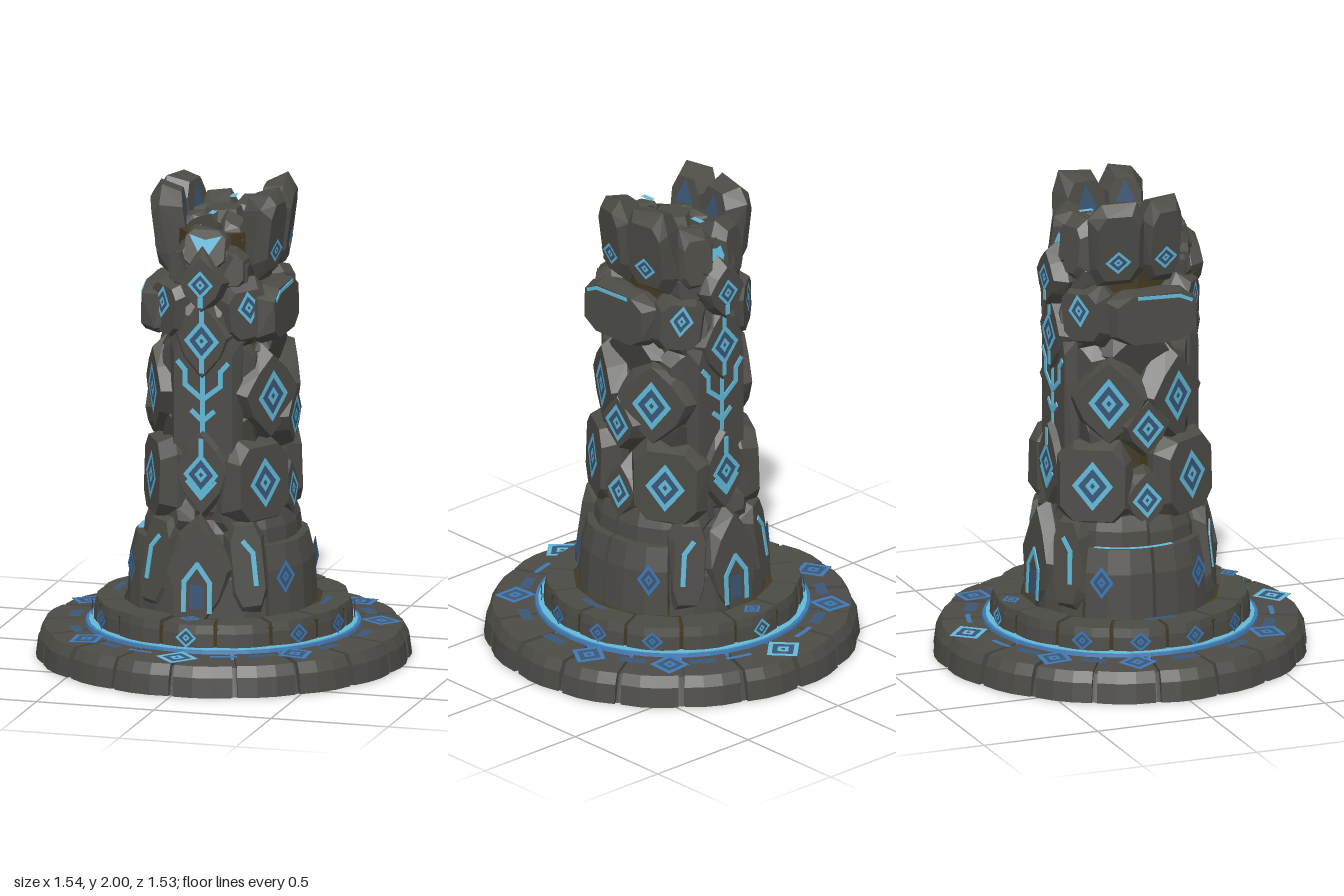
import * as THREE from 'three';
import { ConvexGeometry } from 'three/addons/geometries/ConvexGeometry.js';

const mat = (name, color, side = THREE.FrontSide) => {
  const m = new THREE.MeshStandardMaterial({ color, side });
  m.name = name;
  return m;
};

export function createModel() {
  const root = new THREE.Group();
  root.name = 'runePillar';
  const M = {
    stone: mat('stone', 0x4c4b46),
    dark: mat('darkStone', 0x3e3d38),
    moss: mat('mossyStone', 0x433920),
    glow: mat('runeGlow', 0x62b9d9, THREE.DoubleSide),
    blue: mat('runeBlue', 0x3f78b4, THREE.DoubleSide),
    deep: mat('runeDeepBlue', 0x3a5675, THREE.DoubleSide),
  };
  const PI = Math.PI;
  let seed = 7;
  const rnd = () => (seed = (seed * 16807) % 2147483647) / 2147483647;
  const jit = (s) => (rnd() - 0.5) * 2 * s;

  const add = (parent, name, geo, m, x = 0, y = 0, z = 0) => {
    const mesh = new THREE.Mesh(geo, m);
    mesh.name = name;
    mesh.position.set(x, y, z);
    parent.add(mesh);
    return mesh;
  };
  const drum = (name, r0, r1, h, sides, m, y) => {
    const geo = new THREE.CylinderGeometry(r0, r1, h, sides).toNonIndexed();
    geo.computeVertexNormals();
    return add(root, name, geo, m, 0, y, 0);
  };
  // Frame whose local +z points out of the surface
  const frame = (name, x, y, z, yaw, pitch = 0, roll = 0) => {
    const g = new THREE.Group();
    g.name = name;
    g.position.set(x, y, z);
    g.rotation.set(pitch, yaw, roll, 'YXZ');
    root.add(g);
    return g;
  };

  // Curved paving block with a chamfered outer edge; rise lifts its inner top edge
  const ringStone = (name, a0, a1, ri, ro, y0, y1, bevel, rise = 0) => {
    const pts = [];
    const mid = y0 + (y1 - y0) * 0.65;
    for (let i = 0; i <= 3; i++) {
      const a = a0 + ((a1 - a0) * i) / 3;
      const e = i % 3 ? 0 : 0.008;
      for (const [r, y] of [[ri, y0], [ri, y1 + rise], [ro - e, y0], [ro - bevel * 0.3 - e, mid], [ro - bevel - e, y1]])
        pts.push(new THREE.Vector3(Math.sin(a) * r, y, Math.cos(a) * r));
    }
    add(root, name, new ConvexGeometry(pts), M.stone);
  };

  // Faceted boulder: flat face at local z = 0, swelling behind it
  const BLOCK = [[-1, -0.6], [-0.6, -1], [0.6, -1], [1, -0.6], [1, 0.6], [0.6, 1], [-0.6, 1], [-1, 0.6]];
  const KITE = [[0, -1], [0.7, -0.45], [1, 0.1], [0.55, 0.6], [0, 1], [-0.55, 0.6], [-1, 0.1], [-0.7, -0.45]];
  const boulder = (g, shape, w, h, d, face = 0.72, m = M.stone) => {
    const pts = [];
    for (const [u, v] of shape) {
      const x = (u * w) / 2, y = (v * h) / 2;
      pts.push(new THREE.Vector3(x * face, y * face, 0));
      pts.push(new THREE.Vector3(x + jit(0.012), y + jit(0.012), -d * 0.35 + jit(0.012)));
      pts.push(new THREE.Vector3(x * 0.75, y * 0.8, -d));
    }
    add(g, g.name + 'Stone', new ConvexGeometry(pts), m);
  };

  // Painted diamond: bright outline, deep fill, bright centre
  const diamond = (w, h, hole = 0) => {
    const corners = (k) => [[0, -h], [w, 0], [0, h], [-w, 0]].map(([x, y]) => new THREE.Vector2((x * k) / 2, (y * k) / 2));
    const s = new THREE.Shape(corners(1));
    if (hole) s.holes.push(new THREE.Path(corners(hole)));
    return new THREE.ShapeGeometry(s);
  };
  const rune = (g, w, h, edge = M.glow, y = 0) => {
    add(g, 'runeFill', diamond(w, h), M.deep, 0, y, 0.003);
    add(g, 'runeOutline', diamond(w, h, 0.7), edge, 0, y, 0.005);
    add(g, 'runeCentre', diamond(w * 0.36, h * 0.36, 0.35), edge, 0, y, 0.005);
  };
  // Painted line through points on a local face
  const stroke = (g, pts, t = 0.02, m = M.glow) => {
    for (let i = 1; i < pts.length; i++) {
      const [ax, ay] = pts[i - 1], [bx, by] = pts[i];
      const len = Math.hypot(bx - ax, by - ay) + t * 0.6;
      add(g, 'runeLine', new THREE.BoxGeometry(t, len, 0.005), m, (ax + bx) / 2, (ay + by) / 2, 0.003).rotation.z = Math.atan2(ax - bx, by - ay);
    }
  };
  // Painted arc lying on a ring
  const arc = (name, a, span, r0, r1, y, m) => {
    add(root, name, new THREE.RingGeometry(r0, r1, 12, 1, a - PI / 2 - span / 2, span), m, 0, y, 0).rotation.x = -PI / 2;
  };

  // Paved base, sloping gently outwards
  drum('baseCore', 0.71, 0.745, 0.115, 36, M.stone, 0.0575);
  for (let i = 0; i < 18; i++) {
    const a = (i * PI) / 9;
    ringStone('baseStone', a + 0.012 + rnd() * 0.012, a + PI / 9 - 0.012, 0.5, 0.764 + rnd() * 0.01, 0.002, 0.126 + rnd() * 0.004, 0.035, 0.012);
  }
  drum('glowRing', 0.55, 0.555, 0.05, 40, M.glow, 0.128);
  drum('glowRingEdge', 0.563, 0.572, 0.04, 40, M.blue, 0.129);
  const baseRune = (a, r, w, h, edge) => rune(frame('baseRune', Math.sin(a) * r, 0.172 - 0.05 * r, Math.cos(a) * r, a, -PI / 2 + 0.05), w, h, edge);
  for (const a of [0, PI]) baseRune(a, 0.667, 0.18, 0.17, M.glow);
  for (const a of [0.76, -0.76, 2.38, -2.38, 1.84, -1.84]) baseRune(a, 0.645, 0.16, 0.17, M.blue);
  for (const s of [1, -1]) {
    for (const a of [0.29, 2.85]) arc('baseArc', a * s, 0.18, 0.612, 0.632, 0.141, M.blue);
    for (const a of [0.55, 1.06, 1.5, 2.13, 2.6]) arc('baseWash', a * s, 0.18, 0.595, 0.64, 0.14, M.deep);
  }

  // Second step
  drum('stepCore', 0.515, 0.515, 0.11, 28, M.moss, 0.175);
  for (let i = 0; i < 14; i++) {
    const a = (i * PI) / 7;
    ringStone('stepStone', a - PI / 14 + 0.015, a + PI / 14 - 0.015, 0.41, 0.525 + rnd() * 0.01, 0.14, 0.243 + rnd() * 0.012, 0.012);
    if (i % 7 !== 1 && i % 7 !== 6) rune(frame('stepRune', Math.sin(a) * 0.534, 0.195, Math.cos(a) * 0.534, a), 0.09, 0.085, i % 7 ? M.blue : M.glow);
  }
  for (const a of [0, PI]) rune(frame('stepTopRune', 0, 0.258, Math.cos(a) * 0.48, a, -PI / 2), 0.09, 0.08, M.blue);
  for (const s of [1, -1]) arc('stepWash', (s * PI) / 2, 0.3, 0.425, 0.455, 0.258, M.deep);

  // Oval core, lower drum and its collar
  drum('pillarCore', 0.19, 0.24, 1.6, 12, M.moss, 1.02).scale.z = 1.3;
  for (let i = 0; i < 8; i++) {
    const a = (i * PI) / 4;
    ringStone('drumStone', a + 0.015, a + PI / 4 - 0.015, 0.18, 0.385 + rnd() * 0.008, 0.24, i % 4 === 1 || i % 4 === 2 ? 0.53 : 0.49, 0.035);
  }
  for (let i = 0; i < 6; i++) {
    const a = (i * PI) / 3;
    ringStone('collarStone', a - PI / 6 + 0.02, a + PI / 6 - 0.02, 0.12, 0.322 + rnd() * 0.01, 0.48, 0.63 + rnd() * 0.03, 0.03);
  }
  arc('collarGlow', -PI / 2 - 0.2, 1.0, 0.325, 0.348, 0.533, M.glow);

  // Boulders on both flanks
  for (const s of [1, -1]) {
    const R = PI / 2;
    let g;
    for (const f of [1, -1]) {
      const yaw = (t) => s * (R - f * (R - t)); // measured from the front or back
      rune(frame('drumRune', s * 0.325, 0.4, f * 0.211, yaw(1.0)), 0.1, 0.14, M.blue);
      g = frame('lowerBoulder', s * 0.24, 0.79, f * 0.217, yaw(1.05), -0.03);
      boulder(g, BLOCK, 0.32, 0.36, 0.2, 0.84);
      rune(g, 0.17, 0.21);
      g = frame('middleBoulder', s * 0.253, 1.14, f * 0.15, yaw(1.08), 0.03);
      boulder(g, KITE, 0.36, 0.42, 0.2, 0.82);
      rune(g, 0.17, 0.22);
      g = frame('upperShoulder', s * 0.185, 1.5, f * 0.25, yaw(0.65), 0, f * s * 0.12);
      boulder(g, BLOCK, 0.22, 0.26, 0.2, 0.76);
      rune(g, 0.1, 0.14, M.glow, 0.03);
    }
    g = frame('lowerKeystone', s * 0.295, 0.72, 0, s * R, -0.05);
    boulder(g, KITE, 0.24, 0.3, 0.2, 0.74);
    rune(g, 0.13, 0.15);
    g = frame('middleKeystone', s * 0.305, 1.03, 0, s * R, 0.05);
    boulder(g, KITE, 0.24, 0.3, 0.2, 0.76);
    rune(g, 0.14, 0.17);
    g = frame('flankFiller', s * 0.235, 1.32, 0, s * R);
    boulder(g, KITE, 0.36, 0.26, 0.14, 0.7, M.dark);
    // Broad ledge below the horns
    g = frame('ledge', s * 0.285, 1.49, 0.05, s * R, -0.02);
    boulder(g, BLOCK, 0.4, 0.24, 0.2, 0.86);
    stroke(g, [[-s * 0.15, 0.065], [-s * 0.1, 0.088], [s * 0.08, 0.095]], 0.014);
    // Paired horns at the crown
    for (const [z, w, yaw, h] of [[0.1, 0.18, 1.4, 0.37], [-0.11, 0.23, 1.72, 0.375]]) {
      g = frame('horn', s * 0.258, 1.8, z, s * yaw, 0.13);
      boulder(g, BLOCK, w, h, 0.13, 0.76);
      rune(g, 0.11, 0.1, M.glow, -0.06);
      add(g, 'hornInnerGlow', diamond(0.09, 0.2), M.deep, 0, 0.04, -0.133);
    }
  }

  // Front and back spines with the long rune
  for (const f of [1, -1]) {
    const Y = f > 0 ? 0 : PI;
    let g = frame('archSlab', 0, 0.42, f * 0.378, Y, -0.05);
    boulder(g, KITE, 0.3, 0.52, 0.14, 0.86);
    stroke(g, [[-0.055, -0.15], [-0.055, -0.03], [0, 0.045], [0.055, -0.03], [0.055, -0.15]]);
    add(g, 'archFill', new THREE.PlaneGeometry(0.06, 0.1), M.deep, 0, -0.09, 0.002);
    g = frame('spine', 0, 1.08, f * 0.295, Y);
    boulder(g, BLOCK, 0.3, 1.0, 0.16, 0.82);
    stroke(g, [[0, -0.13], [0, 0.22]]);
    for (const s of [1, -1]) {
      stroke(g, [[0, 0.06], [s * 0.075, 0.12], [s * 0.075, 0.18], [s * 0.105, 0.215]]);
      stroke(g, [[0, -0.03], [s * 0.045, 0.01]]);
    }
    for (const [y, z, w, h, rw, rh, tail] of [
      [0.83, 0.32, 0.27, 0.42, 0.15, 0.18, [[0, 0.085], [0, 0.145]]],
      [1.39, 0.31, 0.26, 0.38, 0.15, 0.18, [[0, -0.13], [0, -0.085]]],
      [1.63, 0.33, 0.23, 0.28, 0.11, 0.12, [[0, -0.09], [0, -0.06]]],
    ]) {
      g = frame('spineKite', 0, y, f * z, Y);
      boulder(g, KITE, w, h, 0.16, 0.8);
      rune(g, rw, rh);
      stroke(g, tail);
      if (z === 0.31) stroke(g, [[0, 0.085], [0, 0.14]]);
      if (z === 0.32) stroke(g, [[-0.06, -0.03], [0, -0.1], [0.06, -0.03]], 0.014);
    }
    // Leaning slabs and wedges either side of the spine
    for (const s of [1, -1]) {
      const yaw = (t) => (f > 0 ? s * t : PI - s * t);
      const lean = s * f;
      g = frame('leaningSlab', s * 0.2, 0.46, f * 0.32, yaw(0.5), -0.12, lean * 0.08);
      boulder(g, BLOCK, 0.16, 0.42, 0.16, 0.8);
      stroke(g, [[lean * -0.01, 0.1], [lean * 0.025, 0.05], [lean * 0.025, -0.08]]);
      [[0.64, 0.15, 0.29, 0.3], [0.96, 0.145, 0.24, -0.3], [1.28, 0.15, 0.235, 0.3], [1.42, 0.13, 0.25, -0.35], [1.66, 0.12, 0.25, 0.3]].forEach(([y, x, z, roll], i) => {
        g = frame('wedge', s * x, y, f * z, yaw(0.55), 0, lean * roll);
        boulder(g, KITE, 0.21, 0.32, 0.15, 0.6, i % 2 ? M.dark : M.stone);
      });
      g = frame('crownStone', s * 0.1, f > 0 ? 1.68 : 1.77, f * 0.265, yaw(0.35), -0.12);
      boulder(g, BLOCK, 0.17, f > 0 ? 0.18 : 0.27, 0.15, 0.7);
    }
    // Crown lip with a downward gem
    g = frame('crownLip', 0, 1.77, f * 0.27, Y, -0.3);
    boulder(g, BLOCK, 0.2, 0.18, 0.16, 0.85);
    const gem = [[-0.07, 0.055], [0, -0.06], [0.07, 0.055], [0, 0.035]].map(([x, y]) => new THREE.Vector2(x, y));
    add(g, 'crownGem', new THREE.ShapeGeometry(new THREE.Shape(gem)), M.glow, 0, 0, 0.004);
    add(root, 'capRune', new THREE.PlaneGeometry(0.025, 0.06), M.glow, 0, 1.895, f * 0.15).rotation.x = -PI / 2;
  }

  // Rubble ring and hexagonal cap on top
  for (let i = 0; i < 10; i++) {
    const a = (i * PI) / 5 + jit(0.1);
    boulder(frame('rubble', Math.sin(a) * 0.13, 1.85 + jit(0.02), Math.cos(a) * 0.17, a, -1.2 + jit(0.2)), KITE, 0.13, 0.17, 0.1, 0.6, i % 3 ? M.stone : M.dark);
  }
  drum('capStone', 0.075, 0.1, 0.07, 6, M.stone, 1.85);
  return root;
}
